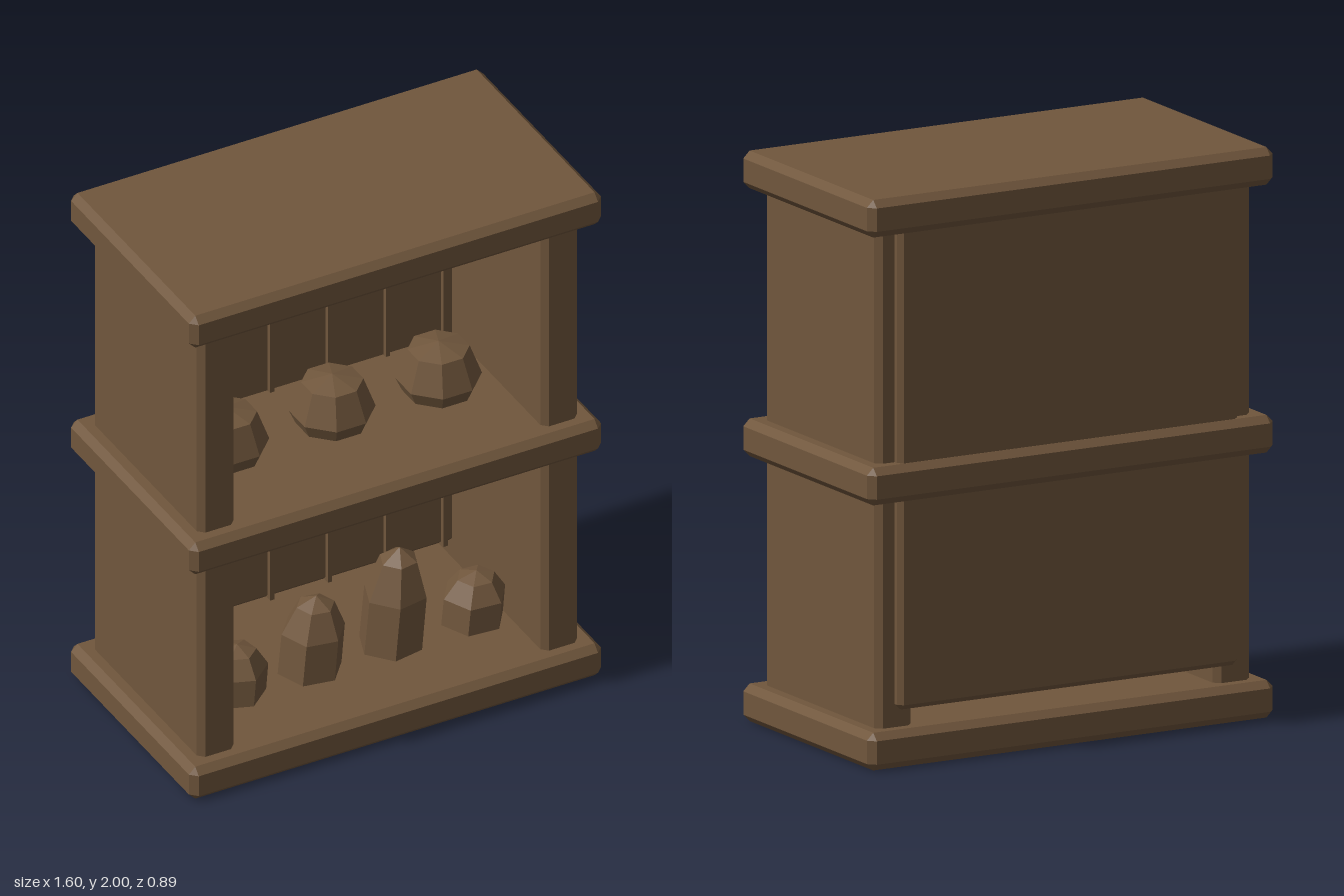
import * as THREE from 'three';
import { ConvexGeometry } from 'three/addons/geometries/ConvexGeometry.js';

const wood = new THREE.MeshStandardMaterial({ color: 0x70563c });
wood.name = 'brown wood';

// Box with a single flat chamfer on every edge
function chamferBox(w, h, d, c) {
  const points = [];
  for (const sx of [-1, 1]) for (const sy of [-1, 1]) for (const sz of [-1, 1]) {
    const x = w / 2, y = h / 2, z = d / 2;
    points.push(
      new THREE.Vector3(sx * x, sy * (y - c), sz * (z - c)),
      new THREE.Vector3(sx * (x - c), sy * y, sz * (z - c)),
      new THREE.Vector3(sx * (x - c), sy * (y - c), sz * z)
    );
  }
  return new ConvexGeometry(points);
}

// Faceted solid of revolution, optionally leaning towards +x
function facetedLathe(profile, sides, startAngle, lean = 0) {
  const points = profile.map(([r, y]) => new THREE.Vector2(r, y));
  const geometry = new THREE.LatheGeometry(points, sides, startAngle).toNonIndexed();
  const p = geometry.attributes.position;
  for (let i = 0; i < p.count; i++) p.setX(i, p.getX(i) + lean * p.getY(i));
  geometry.computeVertexNormals();
  return geometry;
}

export function createModel() {
  const model = new THREE.Group();
  model.name = 'displayShelf';

  function add(name, geometry, x, y, z) {
    const mesh = new THREE.Mesh(geometry, wood);
    mesh.name = name;
    mesh.position.set(x, y, z);
    model.add(mesh);
  }

  // Base, middle shelf and top
  const board = chamferBox(1.6, 0.132, 0.89, 0.025);
  [['baseBoard', 0.066], ['middleShelf', 0.995], ['topBoard', 1.934]]
    .forEach(([name, y]) => add(name, board, 0, y, 0));

  // Side panels
  const side = chamferBox(0.143, 1.9, 0.77, 0.022);
  add('leftSide', side, 0.667, 1, 0);
  add('rightSide', side, -0.667, 1, 0);

  // Thick back panel, raised clear of the base
  add('backPanel', chamferBox(1.34, 1.735, 0.153, 0.018), 0, 1.0625, -0.3415);

  // Thin battens on the back panel
  const batten = new THREE.BoxGeometry(0.016, 1.2, 0.03);
  for (let i = 0; i < 6; i++) add('batten', batten, -0.562 + i * 0.2245, 0.8, -0.262);

  // Rounded stones on the middle shelf
  const stone = facetedLathe(
    [[0, 0], [0.105, 0.015], [0.149, 0.113], [0.107, 0.228], [0, 0.255]], 8, Math.PI / 8);
  for (const x of [-0.428, -0.015, 0.398]) add('stone', stone, x, 1, 0);

  // Leaning six-sided crystals on the base: x, height, turn in degrees
  const crystals = [[-0.466, 0.19, 10], [-0.168, 0.29, 20], [0.147, 0.385, 40], [0.463, 0.19, 25]];
  for (const [x, h, turn] of crystals) {
    const profile = [[0, 0], [0.115, 0], [0.114, 0.54 * h], [0.068, 0.88 * h], [0, h]];
    add('crystal', facetedLathe(profile, 6, turn * Math.PI / 180, 0.09), x, 0.16, 0.12);
  }

  return model;
}
